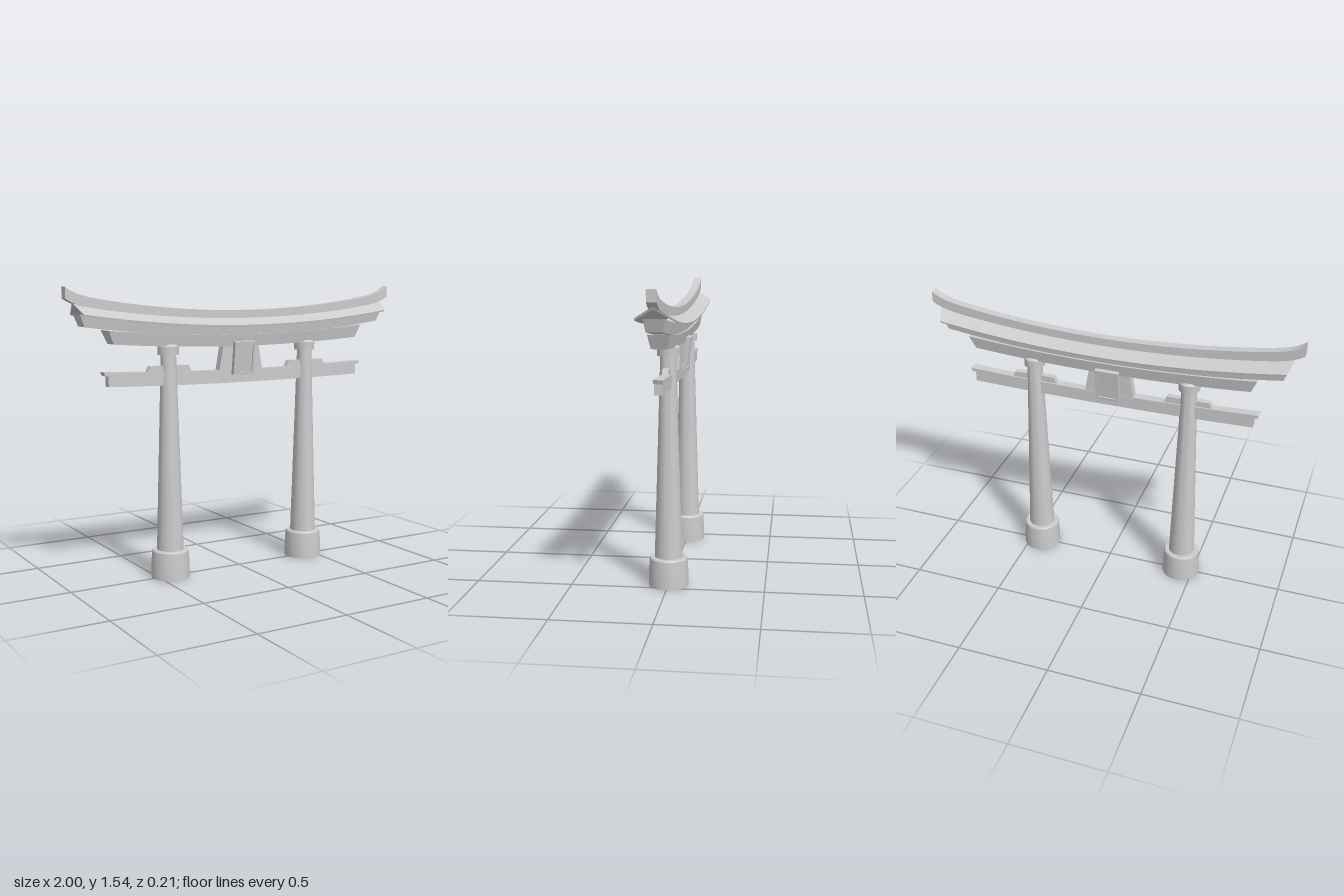
import * as THREE from 'three';
import { toCreasedNormals } from 'three/addons/utils/BufferGeometryUtils.js';

const material = new THREE.MeshStandardMaterial({ color: 0xcccccc });

function mesh(name, geometry) {
  const m = new THREE.Mesh(geometry, material);
  m.name = name;
  return m;
}

// Sweeps a closed section along x. Each section point is [z, y at middle, rise at ends, half length];
// curve(t) gives the share of the rise at t in -1..1.
function sweep(name, section, steps = 32, curve = t => t * t) {
  const positions = [], index = [], n = section.length;
  for (let i = 0; i <= steps; i++) {
    const t = (i / steps) * 2 - 1;
    for (const [z, y, rise, half] of section) positions.push(t * half, y + rise * curve(t), z);
  }
  for (let i = 0; i < steps; i++) {
    for (let k = 0; k < n; k++) {
      const a = i * n + k, b = i * n + (k + 1) % n;
      index.push(a, a + n, b + n, a, b + n, b);
    }
  }
  const last = steps * n;
  for (let k = 1; k < n - 1; k++) {
    index.push(0, k, k + 1, last, last + k + 1, last + k);
  }
  const g = new THREE.BufferGeometry();
  g.setAttribute('position', new THREE.Float32BufferAttribute(positions, 3));
  g.setIndex(index);
  return mesh(name, toCreasedNormals(g, 0.3));
}

// Four-sided section; bottom and top are each [half width, y, rise, half length]
function bar(bottom, top) {
  const flip = ([z, ...rest]) => [-z, ...rest];
  return [bottom, top, flip(top), flip(bottom)];
}

function lathe(name, profile) {
  const points = profile.map(([r, y]) => new THREE.Vector2(r, y));
  return mesh(name, toCreasedNormals(new THREE.LatheGeometry(points, 32), 0.5));
}

function rect(w, h, Type = THREE.Shape) {
  return new Type([[-w, -h], [w, -h], [w, h], [-w, h]].map(([x, y]) => new THREE.Vector2(x, y)));
}

// Framed tablet with a recessed panel, leaning outward at the top
function createTablet() {
  const tablet = new THREE.Group();
  tablet.name = 'tablet';
  const shape = rect(0.064, 0.09);
  shape.holes.push(rect(0.05, 0.076, THREE.Path));
  const frame = mesh('tabletFrame', new THREE.ExtrudeGeometry(shape, { depth: 0.024, bevelEnabled: false }));
  frame.position.z = -0.012;
  tablet.add(frame, mesh('tabletPanel', new THREE.BoxGeometry(0.1, 0.152, 0.012)));
  tablet.position.set(0, 1.165, 0.05);
  tablet.rotation.x = 0.125;
  return tablet;
}

export function createModel() {
  const model = new THREE.Group();
  model.name = 'gate';

  // Roof: ridge with upturned ends, thin pitched eaves, two stacked lintels
  const upturn = t => 0.75 * t * t + 0.25 * Math.pow(t, 20);
  model.add(sweep('ridge', bar([0.024, 1.378, 0.109, 1], [0.024, 1.42, 0.125, 1]), 80, upturn));
  model.add(sweep('roof', [
    [0, 1.375, 0.08, 0.95],
    [0.088, 1.334, 0.068, 0.93],
    [0.09, 1.343, 0.068, 0.932],
    [0, 1.388, 0.08, 0.957],
    [-0.09, 1.343, 0.068, 0.932],
    [-0.088, 1.334, 0.068, 0.93],
  ]));
  model.add(sweep('upperLintel', bar([0.04, 1.285, 0.063, 0.91], [0.05, 1.345, 0.065, 0.934])));
  model.add(sweep('lowerLintel', bar([0.04, 1.228, 0.029, 0.755], [0.053, 1.29, 0.037, 0.785])));

  // Tie beam with an overhanging cap board
  model.add(sweep('tieBeam', bar([0.021, 1.03, 0.012, 0.778], [0.021, 1.09, 0.012, 0.778])));
  model.add(sweep('tieBeamCap', bar([0.024, 1.083, 0.015, 0.797], [0.024, 1.1, 0.018, 0.805])));

  // Pillars with plinths, collars and wedges
  for (const side of [1, -1]) {
    const pillar = new THREE.Group();
    pillar.name = side > 0 ? 'leftPillar' : 'rightPillar';
    pillar.position.x = 0.43 * side;
    pillar.add(lathe('plinth', [[0, 0], [0.104, 0], [0.103, 0.07], [0.098, 0.145], [0.093, 0.152], [0, 0.152]]));
    pillar.add(lathe('shaft', [[0.072, 0.145], [0.04, 1.21]]));
    pillar.add(lathe('collar', [[0, 1.194], [0.056, 1.194], [0.057, 1.237], [0.046, 1.248], [0, 1.248]]));
    pillar.add(sweep('wedge', bar([0.016, 1.09, 0, 0.136], [0.016, 1.137, 0, 0.112]), 1));
    model.add(pillar);
  }

  // Central strut with a tablet on each face
  model.add(sweep('centralStrut', bar([0.022, 1.09, 0, 0.137], [0.022, 1.24, 0, 0.11]), 1));
  for (const angle of [0, Math.PI]) {
    const face = new THREE.Group();
    face.name = angle ? 'backTablet' : 'frontTablet';
    face.rotation.y = angle;
    face.add(createTablet());
    model.add(face);
  }
  return model;
}
